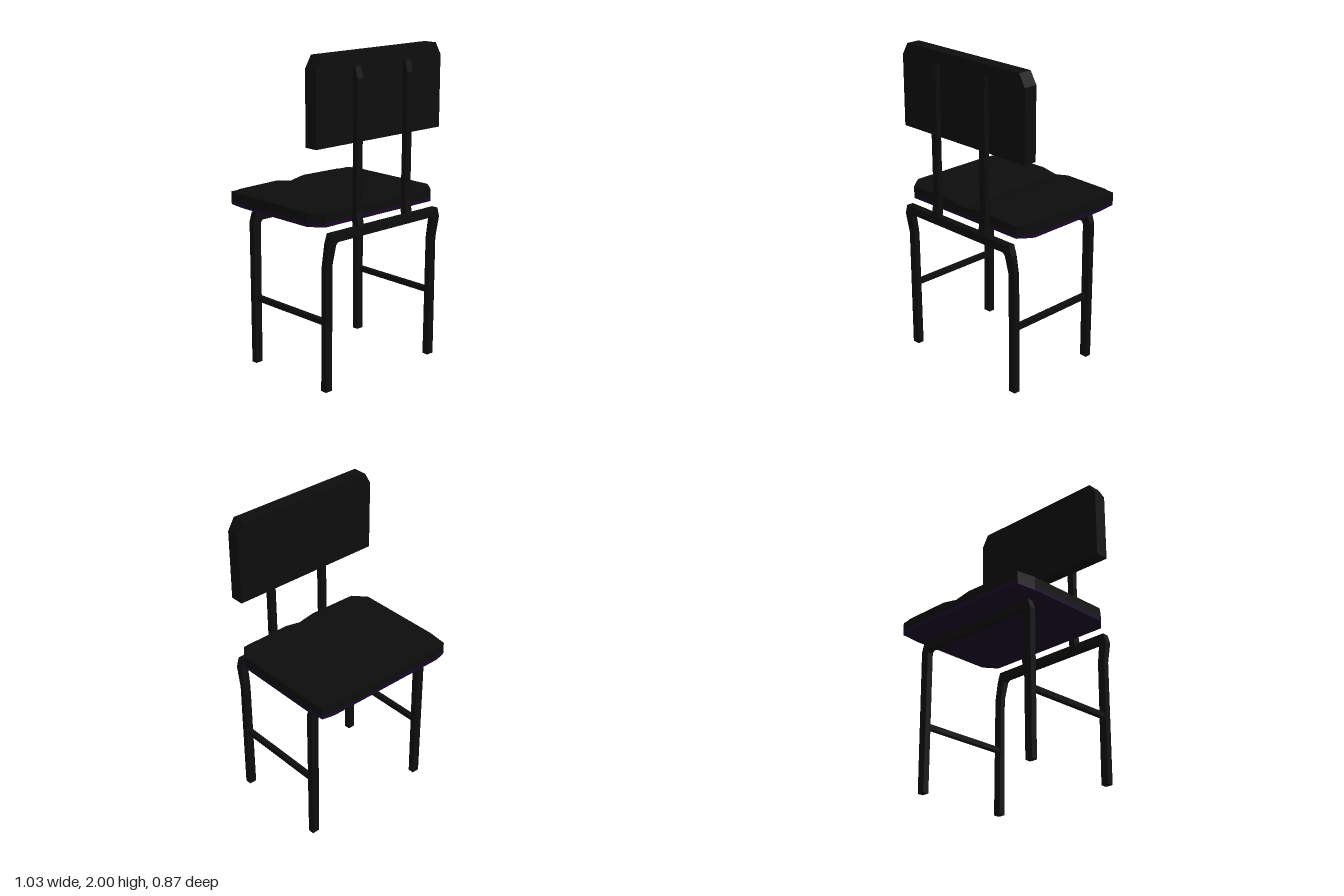
import * as THREE from 'three';

// Closed solid through four-cornered rings, flat shaded
function loft(rings) {
  const pos = [];
  const quad = (a, b, c, d) => pos.push(...a, ...b, ...c, ...a, ...c, ...d);
  for (let s = 0; s < rings.length - 1; s++) {
    const p = rings[s], q = rings[s + 1];
    for (let i = 0; i < 4; i++) {
      const j = (i + 1) % 4;
      quad(p[i], p[j], q[j], q[i]);
    }
  }
  const first = rings[0], last = rings[rings.length - 1];
  quad(first[3], first[2], first[1], first[0]);
  quad(...last);
  const geo = new THREE.BufferGeometry();
  geo.setAttribute('position', new THREE.Float32BufferAttribute(pos, 3));
  geo.computeVertexNormals();
  return geo;
}

// Ring of a bar: outer point, inner point, depth range
const barRing = ([ox, oy, ix, iy, z0, z1]) =>
  [[ox, oy, z1], [ox, oy, z0], [ix, iy, z0], [ix, iy, z1]];

// Bent leg frame: one half mirrored into a full arch
function archFrame(half) {
  const other = half.map(([ox, oy, ix, iy, a, b]) => [-ox, oy, -ix, iy, a, b]).reverse();
  return loft([...half, ...other].map(barRing));
}

export function createModel() {
  const group = new THREE.Group();
  const black = new THREE.MeshStandardMaterial({ color: 0x0d0d0d });
  black.name = 'black';
  const purple = new THREE.MeshStandardMaterial({ color: 0x1b0729 });
  purple.name = 'darkPurple';
  const add = (name, geo, mat = black) => {
    const mesh = new THREE.Mesh(geo, mat);
    mesh.name = name;
    group.add(mesh);
    return mesh;
  };

  // Leg frames
  add('backrestSideLegs', archFrame([
    [0.47, 0, 0.42, 0, 0.36, 0.402],
    [0.47, 0.78, 0.42, 0.78, 0.368, 0.405],
    [0.47, 0.92, 0.415, 0.91, 0.39, 0.432],
    [0.45, 0.98, 0.4, 0.927, 0.39, 0.435],
  ]));
  add('openSideLegs', archFrame([
    [0.47, 0, 0.42, 0, -0.283, -0.243],
    [0.47, 0.92, 0.415, 0.91, -0.286, -0.244],
    [0.45, 0.98, 0.4, 0.927, -0.286, -0.244],
  ]));

  // Stretchers and backrest posts on both sides
  const postProfile = [
    [0.94, 0.39, 0.432], [0.98, 0.375, 0.425], [1.03, 0.37, 0.415], [1.07, 0.372, 0.408],
    [1.4, 0.376, 0.41], [1.85, 0.372, 0.412], [1.92, 0.372, 0.393],
  ];
  for (const [side, s] of [['left', 1], ['right', -1]]) {
    add(side + 'Stretcher', new THREE.BoxGeometry(0.032, 0.032, 0.63))
      .position.set(s * 0.445, 0.43, 0.06);
    const x = s * 0.206;
    add(side + 'Post', loft(postProfile.map(([y, z0, z1]) =>
      barRing([x + 0.023, y, x - 0.023, y, z0, z1]))));
  }

  // Seat cross-sections: x, front edge, back edge, top height
  const halfSeat = [
    [0.515, -0.29, 0.285, 1.095], [0.5, -0.42, 0.31, 1.092], [0.45, -0.431, 0.375, 1.088],
    [0.42, -0.437, 0.375, 1.09], [0.11, -0.437, 0.375, 1.095],
  ];
  const seat = [
    ...halfSeat.map(([x, a, b, y]) => [-x, a, b, y]),
    [0, -0.437, 0.375, 1.075],
    ...[...halfSeat].reverse(),
  ];
  const slab = (bottom, top) => loft(seat.map(([x, a, b, y]) => {
    const t = top ?? y;
    return [[x, bottom, a], [x, t, a], [x, t, b], [x, bottom, b]];
  }));
  add('seatCushion', slab(1.033));
  add('seatUnderside', slab(1.01, 1.033), purple);

  // Backrest panel with clipped upper corners
  const outline = [[-0.515, 1.475], [0.515, 1.475], [0.515, 1.925], [0.47, 2], [-0.47, 2], [-0.515, 1.925]];
  const panel = new THREE.ExtrudeGeometry(
    new THREE.Shape(outline.map(([x, y]) => new THREE.Vector2(x, y))),
    { depth: 0.09, bevelEnabled: false });
  add('backrest', panel).position.z = 0.285;

  return group;
}
